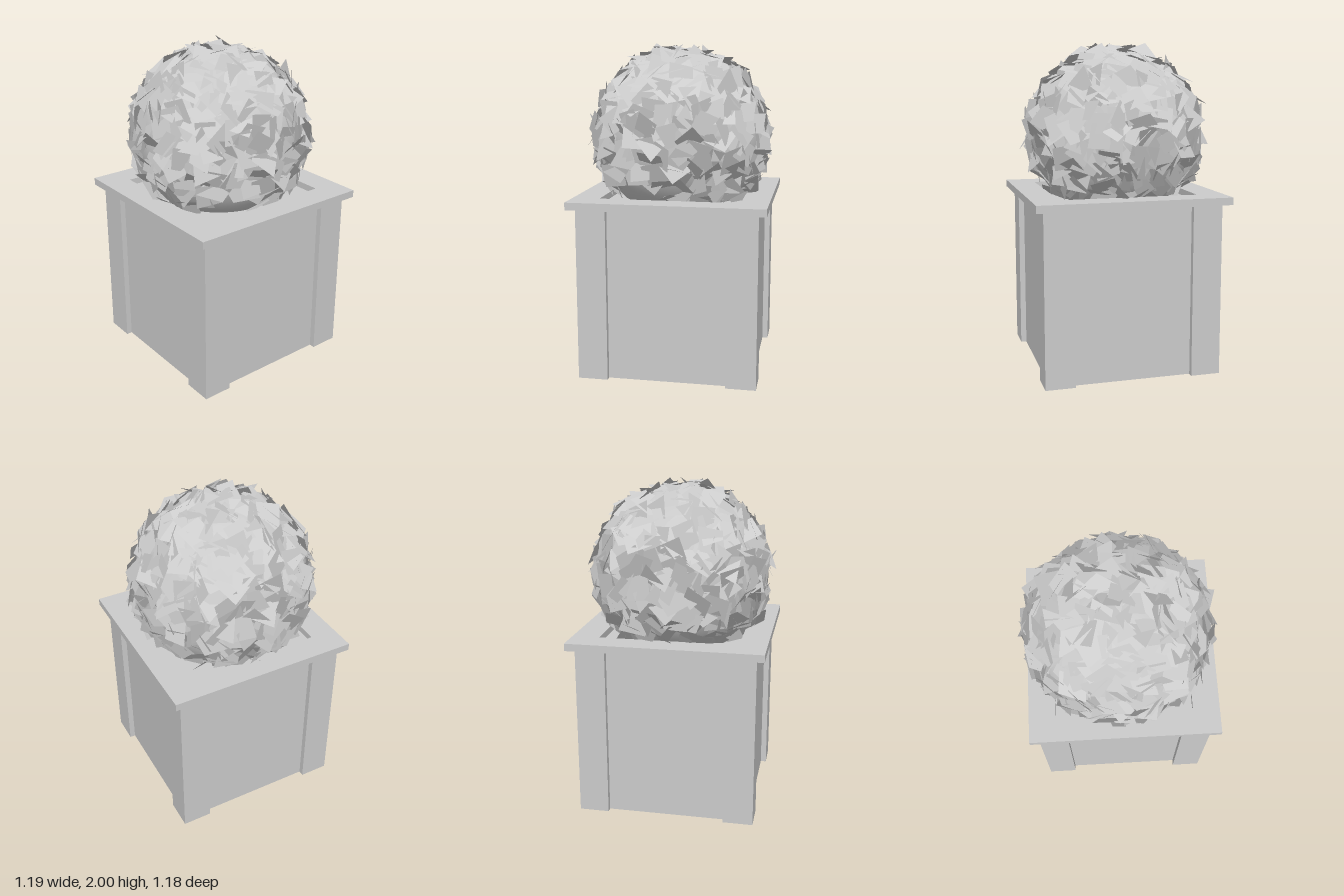
import * as THREE from 'three';

const CX = 0.015, CZ = -0.005;          // planter centre
const RIM_BOTTOM = 1.045, RIM_TOP = 1.09;
const BALL_Y = 1.425, CORE_R = 0.52;

const flat = () => new THREE.MeshStandardMaterial({ color: 0xcccccc, flatShading: true, side: THREE.DoubleSide });

// Small seeded generator for the leaves
function seeded(seed) {
  return () => {
    seed = (seed * 1664525 + 1013904223) % 4294967296;
    return seed / 4294967296;
  };
}

function add(group, name, geometry, material) {
  const mesh = new THREE.Mesh(geometry, material);
  mesh.name = name;
  group.add(mesh);
  return mesh;
}

// Hollow box wall, open below, whose outline steps out at the corner posts
function wallGeometry(half, post, recess, height) {
  const inner = half - recess, edge = half - post;
  const side = [[-edge, inner], [edge, inner], [edge, half], [half, half], [half, edge], [inner, edge]];
  const outline = [];
  for (let k = 0; k < 4; k++) {
    const c = Math.round(Math.cos(k * Math.PI / 2)), s = Math.round(Math.sin(k * Math.PI / 2));
    // turn one side and its corner clockwise by quarter turns
    for (const [x, z] of side.slice(0, 5)) outline.push([x * c + z * s, -x * s + z * c]);
  }
  const pos = [];
  outline.forEach(([x0, z0], i) => {
    const [x1, z1] = outline[(i + 1) % outline.length];
    pos.push(x0, 0, z0, x1, 0, z1, x1, height, z1);
    pos.push(x0, 0, z0, x1, height, z1, x0, height, z0);
  });
  const g = new THREE.BufferGeometry();
  g.setAttribute('position', new THREE.Float32BufferAttribute(pos, 3));
  g.computeVertexNormals();
  return g;
}

// Square frame with a square opening
function rimGeometry(outer, inner, height) {
  const square = (P, h) => new P([[-h, -h], [h, -h], [h, h], [-h, h]].map(([x, y]) => new THREE.Vector2(x, y)));
  const shape = square(THREE.Shape, outer);
  shape.holes.push(square(THREE.Path, inner));
  return new THREE.ExtrudeGeometry(shape, { depth: height, bevelEnabled: false }).rotateX(-Math.PI / 2);
}

// Tilted four-sided leaves spread evenly over the ball
function leavesGeometry(count) {
  const rand = seeded(71), spread = a => (rand() * 2 - 1) * a;
  const pos = [];
  const out = new THREE.Vector3(), dummy = new THREE.Object3D();
  const leafTurn = new THREE.Quaternion(), zAxis = new THREE.Vector3(0, 0, 1);
  for (let i = 0; i < count; i++) {
    const y = 1 - 2 * (i + 0.5) / count, r = Math.sqrt(1 - y * y), a = i * 2.39996 + spread(0.06);
    out.set(r * Math.cos(a), y, r * Math.sin(a));
    // keep leaves above the rim and leave the bare patch low on the left side
    const p = out.clone().multiplyScalar(0.53 + spread(0.012));
    const bare = p.x > 0 && p.y < -0.22 && p.z > 0.03 && p.z < 0.33;
    if (p.y < -0.36 || bare) continue;
    dummy.quaternion.setFromUnitVectors(zAxis, out);
    leafTurn.setFromEuler(new THREE.Euler(spread(0.55), spread(0.55), rand() * Math.PI * 2, 'ZXY'));
    dummy.quaternion.multiply(leafTurn);
    dummy.position.copy(p);
    dummy.updateMatrix();
    const w = 0.065 + rand() * 0.02, h = 0.055 + rand() * 0.02, skew = spread(0.025);
    const c = [[-w - skew, -h], [w - skew, -h], [w + skew, h], [-w + skew, h]]
      .map(([x, z]) => new THREE.Vector3(x, z, 0).applyMatrix4(dummy.matrix));
    for (const k of [0, 1, 2, 0, 2, 3]) pos.push(c[k].x, c[k].y, c[k].z);
  }
  const g = new THREE.BufferGeometry();
  g.setAttribute('position', new THREE.Float32BufferAttribute(pos, 3));
  g.computeVertexNormals();
  return g;
}

export function createModel() {
  const model = new THREE.Group();
  model.name = 'plantedBox';

  // Planter
  const planter = new THREE.Group();
  planter.name = 'planter';
  planter.position.set(CX, 0, CZ);
  add(planter, 'panelsAndCornerPosts', wallGeometry(0.5375, 0.18, 0.035, RIM_BOTTOM), flat());
  add(planter, 'rim', rimGeometry(0.585, 0.42, RIM_TOP - RIM_BOTTOM), flat()).position.y = RIM_BOTTOM;
  const soil = new THREE.PlaneGeometry(0.84, 0.84).rotateX(-Math.PI / 2);
  add(planter, 'soil', soil, flat()).position.y = RIM_BOTTOM + 0.005;
  model.add(planter);

  // Clipped round bush
  const bush = new THREE.Group();
  bush.name = 'bush';
  bush.position.set(-0.005, BALL_Y, 0);
  const core = new THREE.SphereGeometry(CORE_R, 40, 28, 0, Math.PI * 2, 0, Math.PI * 0.76);
  add(bush, 'bushCore', core, new THREE.MeshStandardMaterial({ color: 0xcccccc }));
  add(bush, 'leaves', leavesGeometry(520), flat());
  model.add(bush);

  return model;
}
